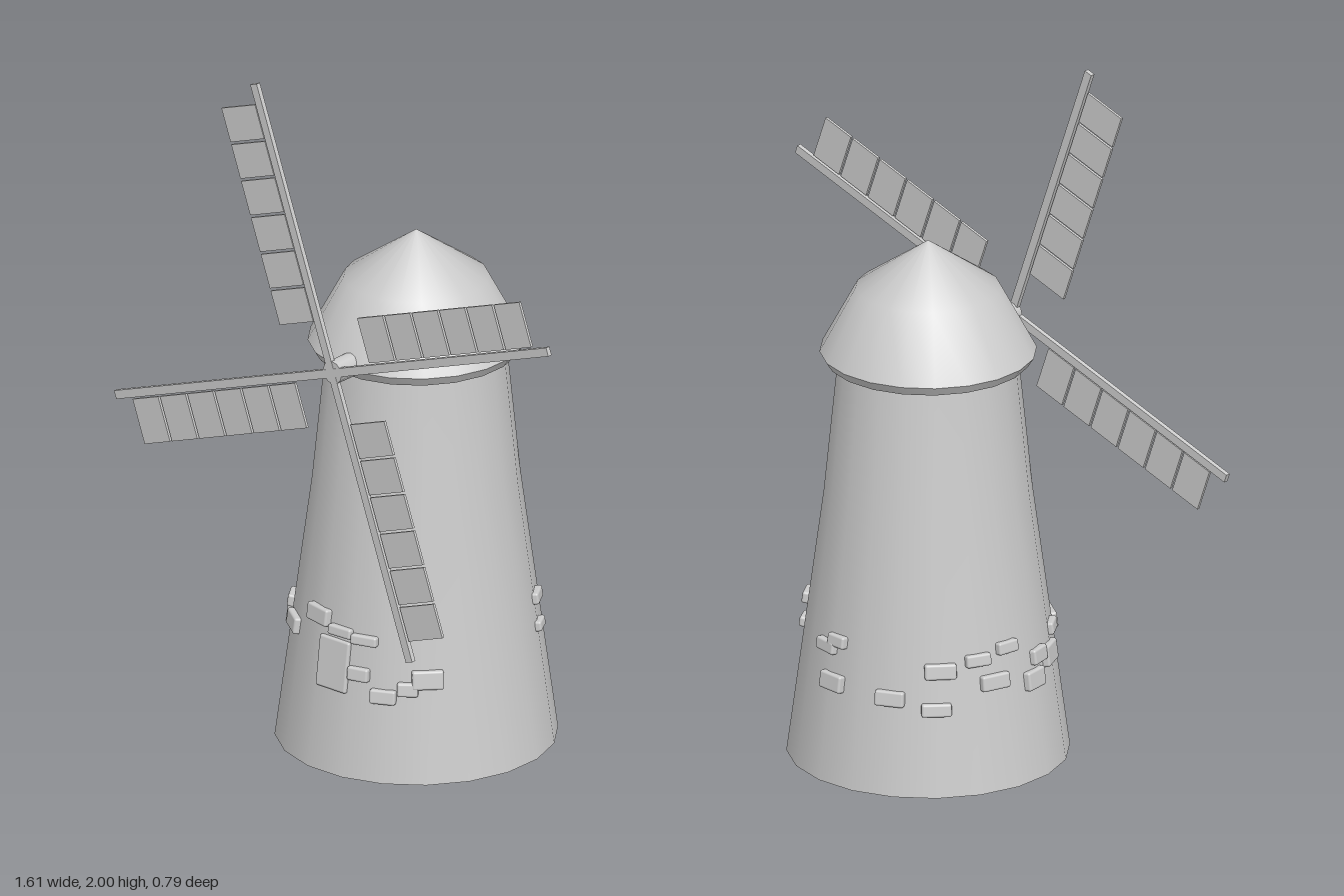
import * as THREE from 'three';
import { toCreasedNormals } from 'three/addons/utils/BufferGeometryUtils.js';
import { RoundedBoxGeometry } from 'three/addons/geometries/RoundedBoxGeometry.js';

const SIDES = 20;
const RAD = Math.PI / 180;
const stoneGrey = new THREE.MeshStandardMaterial({ color: 0xcccccc, side: THREE.DoubleSide });
stoneGrey.name = 'stoneGrey';

function add(parent, geometry, name, x = 0, y = 0, z = 0) {
  const mesh = new THREE.Mesh(geometry, stoneGrey);
  mesh.name = name;
  mesh.position.set(x, y, z);
  parent.add(mesh);
  return mesh;
}

// Faceted turned body with a flat facet facing each axis
function turned(points) {
  const profile = points.map(([r, y]) => new THREE.Vector2(r, y));
  return toCreasedNormals(new THREE.LatheGeometry(profile, SIDES, Math.PI / SIDES), 0.55);
}

const wallRadius = (y) => 0.393 - 0.13 * y;

// Block set into the sloping wall at an angle round the tower (0 = front, 90 = model's left)
function wallBlock(parent, name, angle, y, w, h, depth = 0.035, proud = 0) {
  const pivot = new THREE.Group();
  pivot.name = name + 'Mount';
  pivot.rotation.y = angle * RAD;
  parent.add(pivot);
  const block = add(pivot, new RoundedBoxGeometry(w, h, depth, 2, 0.007), name, 0, y, wallRadius(y) + proud);
  block.rotation.x = -0.13;
}

// One sail pointing up: spar with six panels on its -x side
function makeSail() {
  const sail = new THREE.Group();
  sail.name = 'sail';
  add(sail, new THREE.BoxGeometry(0.025, 0.85, 0.014), 'spar', 0, 0.425, 0);
  for (let i = 0; i < 6; i++) {
    add(sail, new THREE.BoxGeometry(0.132, 0.1, 0.008), 'sailPanel', -0.084, 0.203 + i * 0.1075, 0);
  }
  return sail;
}

export function createModel() {
  const model = new THREE.Group();
  model.name = 'windmill';

  // Tapering tower, open at the bottom
  add(model, turned([[0.398, 0], [0.293, 0.78], [0.253, 1.18]]), 'tower');

  // Domed cap with a bevelled rim
  add(model, turned([[0.24, 1.17], [0.288, 1.17], [0.305, 1.197], [0.204, 1.385], [0, 1.525]]), 'cap');

  // Axle
  const axle = add(model, new THREE.CylinderGeometry(0.034, 0.034, 0.2, 12), 'axle', 0, 1.203, 0.26);
  axle.rotation.x = Math.PI / 2;

  // Four sails
  const sails = new THREE.Group();
  sails.name = 'sails';
  sails.position.set(-0.003, 1.2, 0.354);
  for (let i = 0; i < 4; i++) {
    const sail = makeSail();
    sail.rotation.z = 19.8 * RAD + i * Math.PI / 2;
    sails.add(sail);
  }
  model.add(sails);

  // Shutter on the front wall
  wallBlock(model, 'shutter', 0, 0.315, 0.11, 0.15, 0.03, -0.005);

  // Protruding stones: angle, height, width, tallness
  const stones = [
    [-12, 0.44, 0.09, 0.05], [3, 0.415, 0.08, 0.03], [16, 0.405, 0.08, 0.03],
    [14, 0.305, 0.065, 0.04], [26, 0.25, 0.075, 0.042], [37, 0.275, 0.06, 0.04],
    [46, 0.303, 0.09, 0.055], [-36, 0.365, 0.09, 0.048], [-57, 0.385, 0.07, 0.036],
    [-66, 0.325, 0.085, 0.06], [-83, 0.285, 0.08, 0.055], [-78, 0.345, 0.07, 0.045],
    [-99, 0.405, 0.07, 0.036], [-107, 0.315, 0.09, 0.045], [-115, 0.385, 0.075, 0.036],
    [-133, 0.362, 0.09, 0.045], [-135, 0.252, 0.085, 0.038], [-156, 0.28, 0.085, 0.045],
    [173, 0.29, 0.085, 0.05], [167, 0.385, 0.08, 0.036], [174, 0.41, 0.065, 0.036],
    [121, 0.435, 0.07, 0.034], [119, 0.355, 0.06, 0.03],
  ];
  for (const [angle, y, w, h] of stones) wallBlock(model, 'stone', angle, y, w, h);

  return model;
}
